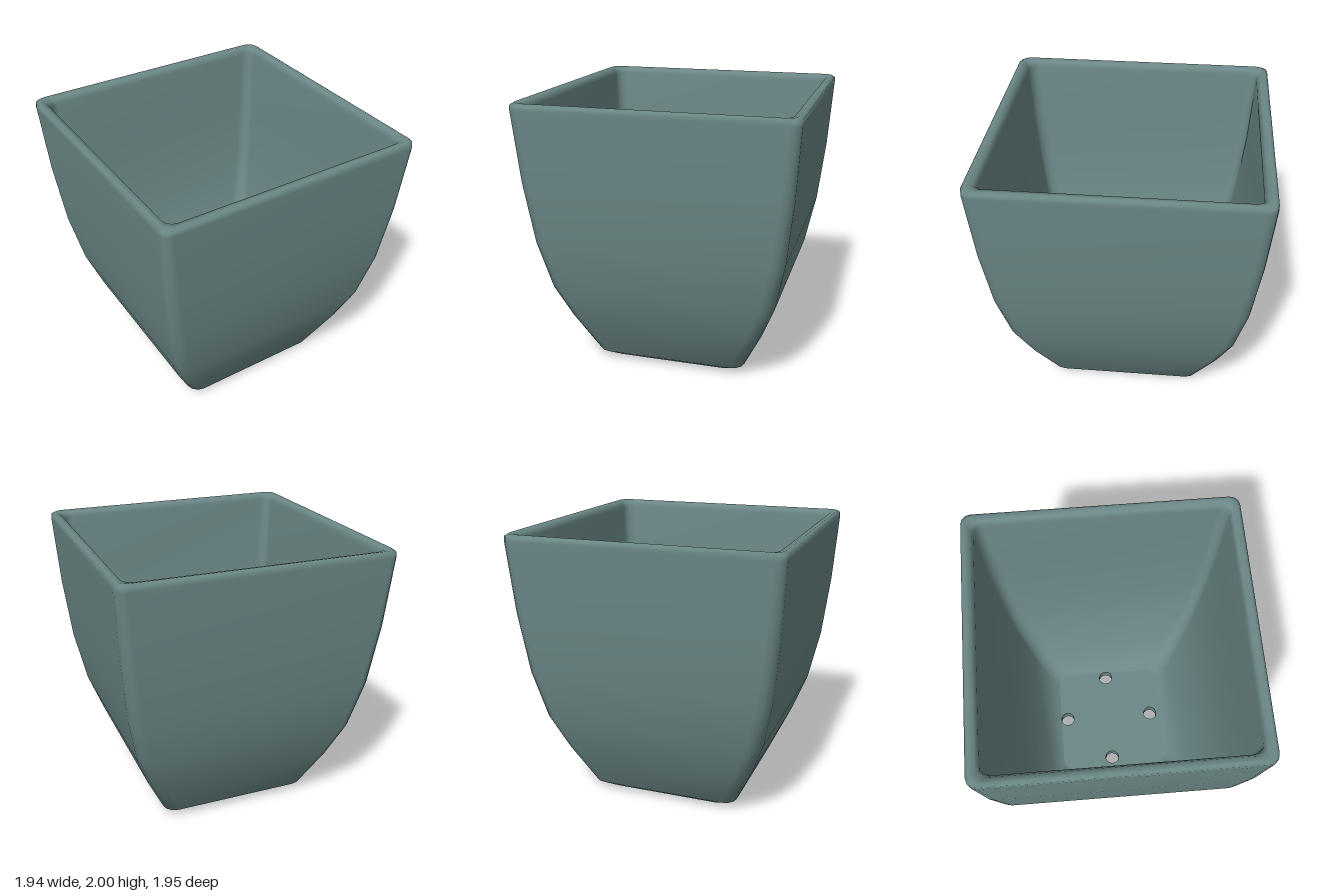
import * as THREE from 'three';

// Rounded-square ring in the xz plane
function ring(half, radius, y, steps = 3) {
  const points = [];
  for (let c = 0; c < 4; c++) {
    const mid = Math.PI / 4 + c * Math.PI / 2;
    const cx = Math.sign(Math.cos(mid)) * (half - radius);
    const cz = Math.sign(Math.sin(mid)) * (half - radius);
    for (let i = 0; i <= steps; i++) {
      const a = c * Math.PI / 2 + (i / steps) * Math.PI / 2;
      points.push([cx + radius * Math.cos(a), y, (cz + radius * Math.sin(a)) * 1.008]);
    }
  }
  return points;
}

// Skin over a list of [half width, corner radius, height]
function loft(profile) {
  const rings = profile.map(([h, r, y]) => ring(h, r, y));
  const n = rings[0].length;
  const index = [];
  for (let j = 0; j < rings.length - 1; j++) {
    for (let i = 0; i < n; i++) {
      const a = j * n + i, b = j * n + (i + 1) % n;
      index.push(a, a + n, b, b, a + n, b + n);
    }
  }
  const geometry = new THREE.BufferGeometry();
  geometry.setAttribute('position', new THREE.Float32BufferAttribute(rings.flat(2), 3));
  geometry.setIndex(index);
  geometry.computeVertexNormals();
  return geometry;
}

export function createModel() {
  const group = new THREE.Group();
  group.name = 'planter';
  const glaze = new THREE.MeshStandardMaterial({ color: 0x6b8887 });
  glaze.name = 'grey green glaze';

  // Curved outer wall, rolled rim and inner wall as one skin
  const walls = new THREE.Mesh(loft([
    [0.43, 0.08, 0.04], [0.47, 0.08, 0.0], [0.56, 0.09, 0.06],
    [0.71, 0.1, 0.38], [0.81, 0.1, 0.64], [0.885, 0.09, 1.0],
    [0.935, 0.08, 1.45], [0.968, 0.07, 1.95], [0.966, 0.07, 1.985],
    [0.945, 0.07, 2.0], [0.905, 0.07, 1.99], [0.885, 0.07, 1.95],
    [0.855, 0.08, 1.45], [0.8, 0.08, 1.0], [0.73, 0.09, 0.66],
    [0.63, 0.1, 0.4], [0.53, 0.1, 0.17], [0.43, 0.08, 0.12],
  ]), glaze);
  walls.name = 'walls';
  group.add(walls);

  // Floor slab with four drainage holes
  const s = 0.44;
  const floor = new THREE.Shape([[-s, -s], [s, -s], [s, s], [-s, s]]
    .map(([x, y]) => new THREE.Vector2(x, y)));
  for (const [x, z] of [[0.02, -0.38], [-0.35, -0.02], [0.38, -0.02], [0.02, 0.34]]) {
    const hole = new THREE.Path();
    hole.absarc(x, -z, 0.055, 0, Math.PI * 2, true);
    floor.holes.push(hole);
  }
  const slab = new THREE.ExtrudeGeometry(floor, { depth: 0.08, bevelEnabled: false, curveSegments: 7 });
  slab.rotateX(-Math.PI / 2);
  slab.translate(0, 0.04, 0);
  const base = new THREE.Mesh(slab, glaze);
  base.name = 'floor';
  group.add(base);

  return group;
}
